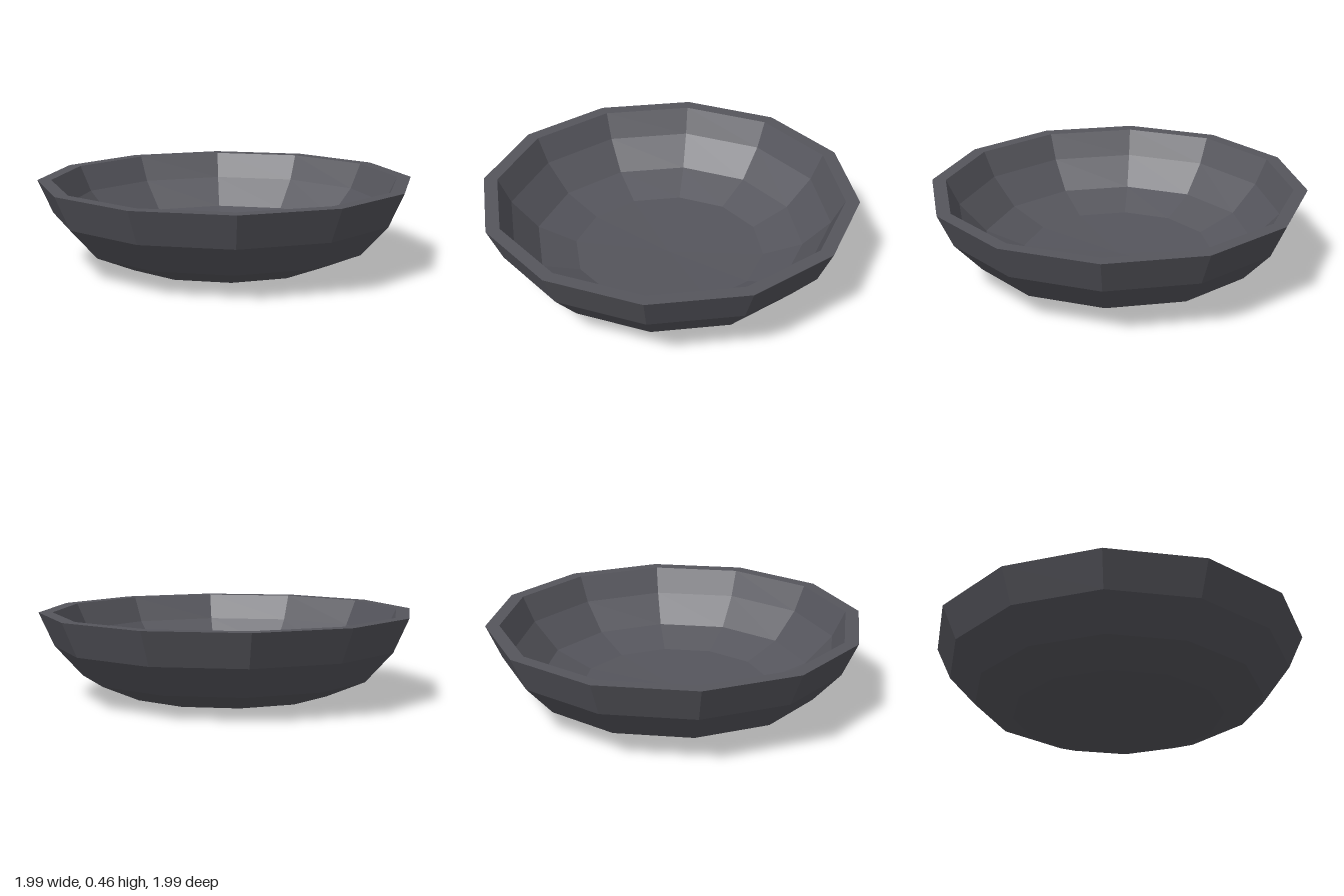
import * as THREE from 'three';

const SIDES = 12;

export function createModel() {
  const model = new THREE.Group();
  model.name = 'bowl';

  const darkStone = new THREE.MeshStandardMaterial({ color: 0x55555c, flatShading: true });
  darkStone.name = 'darkStone';

  // Revolve a radius/height profile into a faceted ring of the bowl
  function addLathe(name, profile) {
    const points = profile.map(([r, y]) => new THREE.Vector2(r, y));
    const mesh = new THREE.Mesh(new THREE.LatheGeometry(points, SIDES), darkStone);
    mesh.name = name;
    model.add(mesh);
  }

  // Outside: nearly flat foot, curving up to the lip
  addLathe('outerShell', [[0, 0.01], [0.37, 0.005], [0.56, 0.035], [0.77, 0.125], [0.915, 0.285], [0.995, 0.462]]);
  // Flat lip
  addLathe('rim', [[0.995, 0.462], [0.922, 0.462]]);
  // Inside: steep wall down to a shallow floor
  addLathe('innerBasin', [[0.922, 0.462], [0.855, 0.325], [0.715, 0.175], [0.51, 0.095], [0, 0.07]]);

  return model;
}
